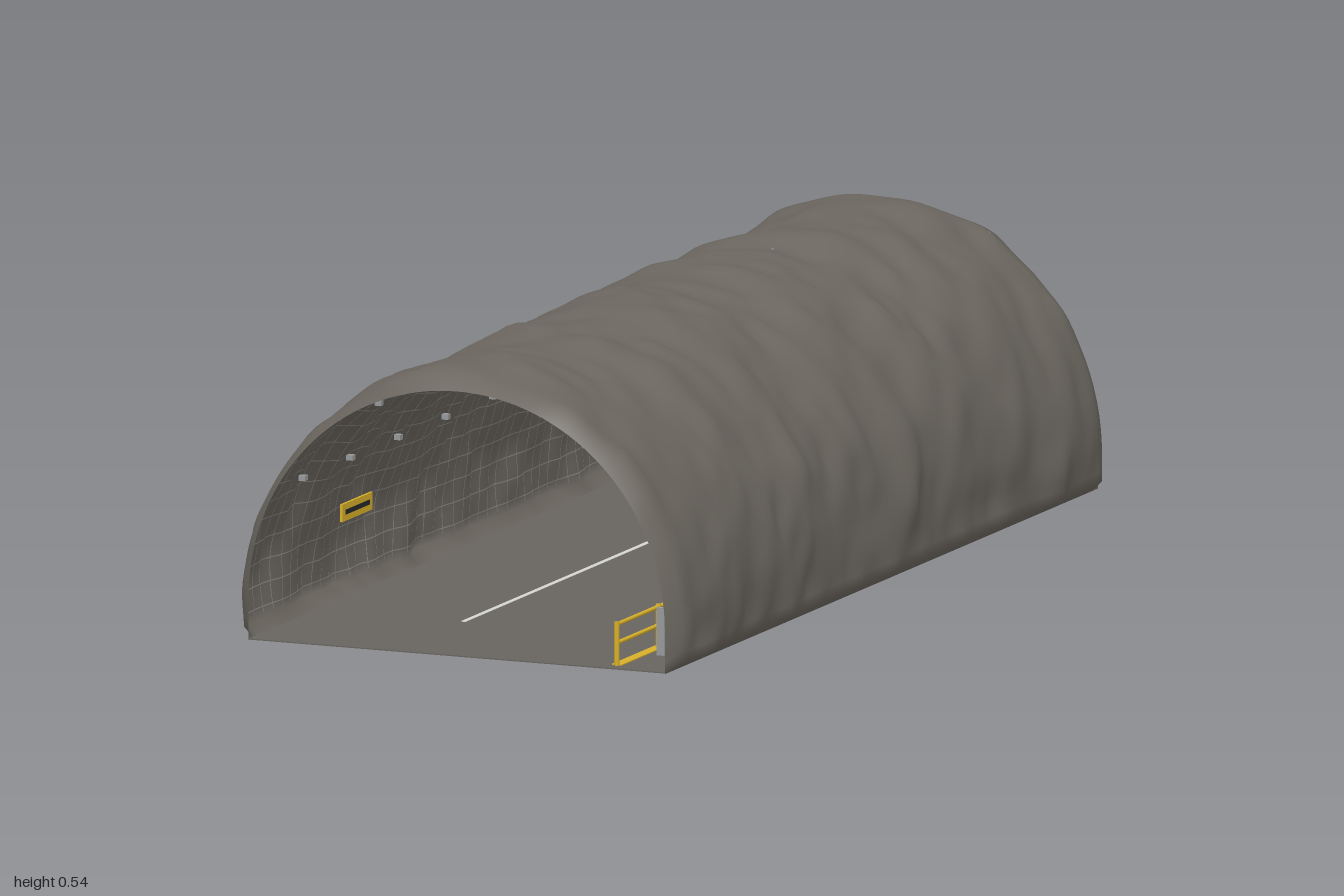
import * as THREE from 'three';

const R = 0.42, WALL = 0.08, ARC = Math.PI * R, LEN = ARC + 2 * WALL;

const mat = (name, color, side = THREE.FrontSide) => {
  const m = new THREE.MeshStandardMaterial({ color, side });
  m.name = name;
  return m;
};

// Smooth seeded value noise, 0..1
const hash = (i, j) => {
  const s = Math.sin(i * 127.1 + j * 311.7) * 43758.5453;
  return s - Math.floor(s);
};
const noise = (a, b) => {
  const i = Math.floor(a), j = Math.floor(b);
  const f = a - i, g = b - j, u = f * f * (3 - 2 * f), v = g * g * (3 - 2 * g);
  const top = hash(i, j) * (1 - u) + hash(i + 1, j) * u;
  const low = hash(i, j + 1) * (1 - u) + hash(i + 1, j + 1) * u;
  return top * (1 - v) + low * v;
};

// Point on the tunnel wall: s runs along the arch from +x to -x, inset moves inward
function wallPoint(s, z, inset = 0) {
  let x, y, nx, ny;
  if (s < WALL) [x, y, nx, ny] = [R, s, 1, 0];
  else if (s > LEN - WALL) [x, y, nx, ny] = [-R, LEN - s, -1, 0];
  else {
    const a = (s - WALL) / R;
    [nx, ny] = [Math.cos(a), Math.sin(a)];
    [x, y] = [R * nx, WALL + R * ny];
  }
  const fade = Math.min(1, (1 - Math.abs(z)) / 0.03, s / 0.02, (LEN - s) / 0.02);
  const rough = 0.65 * noise(s * 6 + z * 2 + 40, z * 9 + 30) + 0.35 * noise(s * 15 + 70, z * 21 + 90);
  const d = Math.max(0, fade) * (0.006 + 0.036 * rough) - inset;
  return [x + nx * d, y + ny * d, z];
}

// Sheet over a grid of (i, j) points
function sheet(point, ni, nj) {
  const pos = [], idx = [];
  for (let i = 0; i <= ni; i++) for (let j = 0; j <= nj; j++) pos.push(...point(i, j));
  for (let i = 0; i < ni; i++) for (let j = 0; j < nj; j++) {
    const a = i * (nj + 1) + j, b = a + nj + 1;
    idx.push(a, a + 1, b, b, a + 1, b + 1);
  }
  const g = new THREE.BufferGeometry();
  g.setAttribute('position', new THREE.Float32BufferAttribute(pos, 3));
  g.setIndex(idx);
  g.computeVertexNormals();
  return g;
}

export function createModel() {
  const root = new THREE.Group();
  root.name = 'rockTunnel';
  const rock = mat('rock', 0x6b665f, THREE.DoubleSide);
  const concrete = mat('concrete', 0x67645f);
  const wire = mat('wire', 0x8b8b88, THREE.DoubleSide);
  const steel = mat('steel', 0x96989a);
  const grey = mat('cabinetGrey', 0xb4b6b4);
  const black = mat('black', 0x26272a);
  const yellow = mat('yellow', 0xd8b02a);
  const blue = mat('blue', 0x2f5f9c);
  const white = mat('white', 0xd6d6d0);

  const add = (name, geo, m, x = 0, y = 0, z = 0, parent = root) => {
    const mesh = new THREE.Mesh(geo, m);
    mesh.name = name;
    mesh.position.set(x, y, z);
    parent.add(mesh);
    return mesh;
  };
  // Box given by its low and high corner
  const box = (name, m, x0, x1, y0, y1, z0, z1, parent) =>
    add(name, new THREE.BoxGeometry(x1 - x0, y1 - y0, z1 - z0), m,
      (x0 + x1) / 2, (y0 + y1) / 2, (z0 + z1) / 2, parent);
  // Round bar along z
  const bar = (name, m, r, x, y, z0, z1, parent) =>
    add(name, new THREE.CylinderGeometry(r, r, z1 - z0, 10).rotateX(Math.PI / 2), m, x, y, (z0 + z1) / 2, parent);

  // Rock lining and floor
  add('rockLining', sheet((i, j) => wallPoint(i * LEN / 74, -1 + j * 2 / 84), 74, 84), rock);
  box('floor', concrete, -R, R, 0.001, 0.003, -1, 1);

  // Wire mesh lying against the rock
  const mesh = new THREE.Group();
  mesh.name = 'wireMesh';
  root.add(mesh);
  for (let k = 1; k < 50; k++) {
    const z = -1 + k * 0.04;
    add('archWire', sheet((i, j) => wallPoint(0.03 + i * (LEN - 0.06) / 60, z + (j - 0.5) * 0.002, 0.003), 60, 1), wire, 0, 0, 0, mesh);
  }
  for (let k = 1; k < 36; k++) {
    const s = k * LEN / 36;
    add('longWire', sheet((i, j) => wallPoint(s + (j - 0.5) * 0.002, -0.98 + i * 1.96 / 70, 0.003), 70, 1), wire, 0, 0, 0, mesh);
  }

  // Rock bolt plates in rings
  for (let k = 0; k < 9; k++) {
    const z = -0.88 + k * 0.22;
    for (const a of [30, 60, 90, 120, 150]) {
      const t = a * Math.PI / 180;
      add('boltPlate', new THREE.BoxGeometry(0.013, 0.01, 0.013), steel,
        0.418 * Math.cos(t), WALL + 0.418 * Math.sin(t), z);
    }
  }

  // Ceiling lamps
  for (let k = 0; k < 5; k++) {
    const z = -0.8 + k * 0.4;
    box('lampBody', steel, -0.009, 0.009, 0.479, 0.486, z - 0.08, z + 0.08);
    box('lampGlass', white, -0.006, 0.006, 0.477, 0.479, z - 0.075, z + 0.075);
    for (const s of [-0.06, 0.06]) box('lampHanger', steel, -0.002, 0.002, 0.486, 0.515, z + s - 0.002, z + s + 0.002);
  }

  // Pipes on brackets along the left wall
  for (const y of [0.045, 0.075, 0.105]) bar('servicePipe', blue, 0.008, 0.4, y, -0.98, 0.97);
  for (let k = 0; k < 11; k++) {
    const z = -0.98 + k * 0.1955;
    box('pipeBracket', steel, 0.394, 0.411, 0.03, 0.12, z - 0.005, z + 0.005);
  }

  // Guard railing and floor stripe
  const rail = new THREE.Group();
  rail.name = 'guardRailing';
  root.add(rail);
  for (const y of [0.045, 0.08]) bar('rail', yellow, 0.004, 0.31, y, -0.95, 0.97, rail);
  for (let k = 0; k < 11; k++) {
    const z = -0.95 + k * 0.192;
    add('railPost', new THREE.CylinderGeometry(0.005, 0.005, 0.085, 10), yellow, 0.31, 0.0425, z, rail);
  }
  box('edgeStripe', yellow, 0.3, 0.32, 0.003, 0.005, -0.95, 0.97);

  // White floor marking
  box('longFloorLine', white, -0.127, -0.117, 0.003, 0.004, -0.845, 0.69);
  box('crossFloorLine', white, -0.127, 0.28, 0.003, 0.004, -0.845, -0.835);

  // Equipment cabinets, each with a cable loop
  for (const z of [-0.49, 0.36]) {
    const c = new THREE.Group();
    c.name = 'cabinet';
    c.position.z = z;
    root.add(c);
    box('plinth', steel, 0.342, 0.418, 0, 0.022, -0.055, 0.055, c);
    box('cabinetBody', grey, 0.355, 0.407, 0.022, 0.178, -0.042, 0.042, c);
    box('screen', black, 0.352, 0.355, 0.128, 0.158, -0.025, 0.015, c);
    box('doorHandle', black, 0.351, 0.355, 0.07, 0.1, 0.026, 0.031, c);
    box('sideVent', black, 0.393, 0.402, 0.04, 0.1, 0.042, 0.045, c);
    box('riser', grey, 0.391, 0.403, 0.178, 0.224, -0.02, 0.02, c);
    box('socket', black, 0.341, 0.355, 0.088, 0.11, -0.008, 0.008, c);
    box('plugCollar', yellow, 0.346, 0.353, 0.086, 0.106, -0.01, 0.01, c);
    const path = new THREE.CatmullRomCurve3([[0.348, 0.09], [0.329, 0.08], [0.32, 0.056], [0.329, 0.031], [0.355, 0.023]]
      .map(([x, y]) => new THREE.Vector3(x, y, 0)));
    add('cableLoop', new THREE.TubeGeometry(path, 20, 0.003, 8), black, 0, 0, 0, c);
  }

  // Wall signs
  box('warningSign', yellow, -0.406, -0.401, 0.155, 0.188, 0.47, 0.61);
  box('signBand', black, -0.401, -0.4, 0.167, 0.176, 0.485, 0.595);
  box('wallPlate', grey, 0.397, 0.402, 0.175, 0.215, -0.68, -0.62);

  return root;
}
